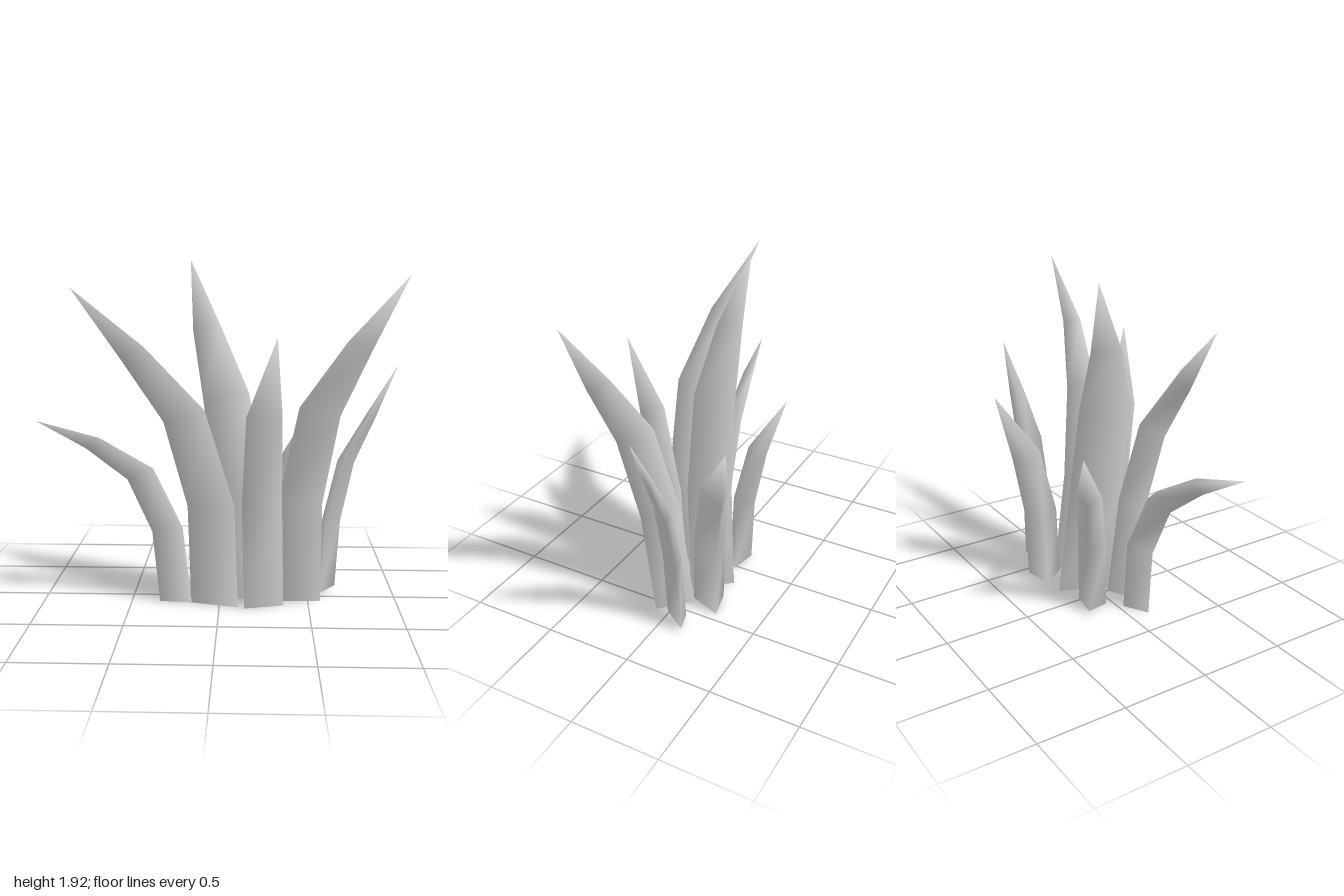
import * as THREE from 'three';

// Shared growth rules per ring: share of height, share of lean, share of bow, taper
const TALL = [[0, 0, 0, 1], [0.33, 0.04, 0.7, 0.98], [0.61, 0.23, 1, 0.9], [0.8, 0.58, 0.8, 0.55]];
const SHORT = [[0, 0, 0, 1], [0.38, 0.05, 0.7, 1], [0.71, 0.33, 1, 0.88]];

// foot: x, z of the three corners at the base; bow: how far the middle strays
const blades = [
  { name: 'farRightBlade', rule: TALL, foot: [[-0.34, 0.11], [-0.16, 0.13], [-0.2, 0.03]], tip: [-1, 1.05, 0.2], bow: [-0.02, 0.105, -0.02] },
  { name: 'broadRightBlade', rule: TALL, foot: [[-0.16, 0.13], [0.105, 0.2], [0, 0.05]], tip: [-0.81, 1.77, 0.14], bow: [0.02, 0.01, 0.09] },
  { name: 'tallCentreBlade', rule: TALL, foot: [[0.03, 0.09], [0.31, 0], [0.15, -0.2]], tip: [-0.17, 1.92, -0.12], bow: [-0.055, 0, 0.07] },
  { name: 'broadLeftBlade', rule: TALL, foot: [[0.32, 0.09], [0.57, 0.08], [0.41, -0.08]], tip: [1, 1.84, 0.28], bow: [-0.03, 0, 0.1] },
  { name: 'thinLeftBlade', rule: TALL, foot: [[0.575, 0], [0.67, -0.14], [0.56, -0.11]], lift: 0.02, tip: [1, 1.34, -0.08], bow: [0.015, -0.05, 0.01] },
  { name: 'frontBlade', rule: SHORT, foot: [[0.14, 0.22], [0.36, 0.16], [0.24, 0.06]], tip: [0.31, 1.52, 0.365], bow: [-0.025, 0.02, 0.05] },
  { name: 'backLeftBlade', rule: SHORT, foot: [[0.38, -0.06], [0.45, -0.24], [0.28, -0.2]], tip: [0.58, 1.14, -0.365], bow: [0, -0.02, 0] },
  { name: 'backRightBlade', rule: SHORT, foot: [[-0.12, -0.04], [0.02, -0.14], [-0.14, -0.17]], tip: [-0.3, 1.03, -0.3], bow: [0, 0, 0] },
];

const UP = new THREE.Vector3(0, 1, 0);
const vec = (a) => new THREE.Vector3(...a);

function makeBlade({ rule, foot, lift = 0, tip, bow }) {
  const corners = foot.map(([x, z]) => new THREE.Vector3(x, lift, z));
  const root = new THREE.Box3().setFromPoints(corners).getCenter(new THREE.Vector3());
  const span = vec(tip).sub(root);
  const path = rule.map(([rise, reach, stray]) => span.clone()
    .multiply(vec([reach, rise, reach])).add(root).addScaledVector(vec(bow), stray));
  path.push(vec(tip));
  const pos = [], index = [];

  // Three-cornered rings, tilted partway towards the bend; the base ring stays level
  rule.forEach(([, , , taper], i) => {
    const axis = UP.clone();
    if (i > 0) axis.lerp(path[i + 1].clone().sub(path[i - 1]).normalize(), 0.65).normalize();
    const tilt = new THREE.Quaternion().setFromUnitVectors(UP, axis);
    for (const corner of corners) {
      const offset = corner.clone().sub(root).multiplyScalar(taper).applyQuaternion(tilt);
      pos.push(...offset.add(path[i]).toArray());
    }
  });

  // Sides and pointed end; the foot is open
  const last = rule.length - 1, apex = rule.length * 3;
  pos.push(...tip);
  for (let i = 0; i <= last; i++) {
    for (let j = 0; j < 3; j++) {
      const a = i * 3 + j, b = i * 3 + (j + 1) % 3;
      if (i === last) index.push(a, b, apex);
      else index.push(a, b, b + 3, a, b + 3, a + 3);
    }
  }

  const geometry = new THREE.BufferGeometry();
  geometry.setAttribute('position', new THREE.Float32BufferAttribute(pos, 3));
  geometry.setIndex(index);
  geometry.computeVertexNormals();
  return geometry;
}

export function createModel() {
  const group = new THREE.Group();
  group.name = 'grassTuft';
  const material = new THREE.MeshStandardMaterial({ color: 0xcccccc, side: THREE.DoubleSide });
  for (const blade of blades) {
    const mesh = new THREE.Mesh(makeBlade(blade), material);
    mesh.name = blade.name;
    group.add(mesh);
  }
  return group;
}
